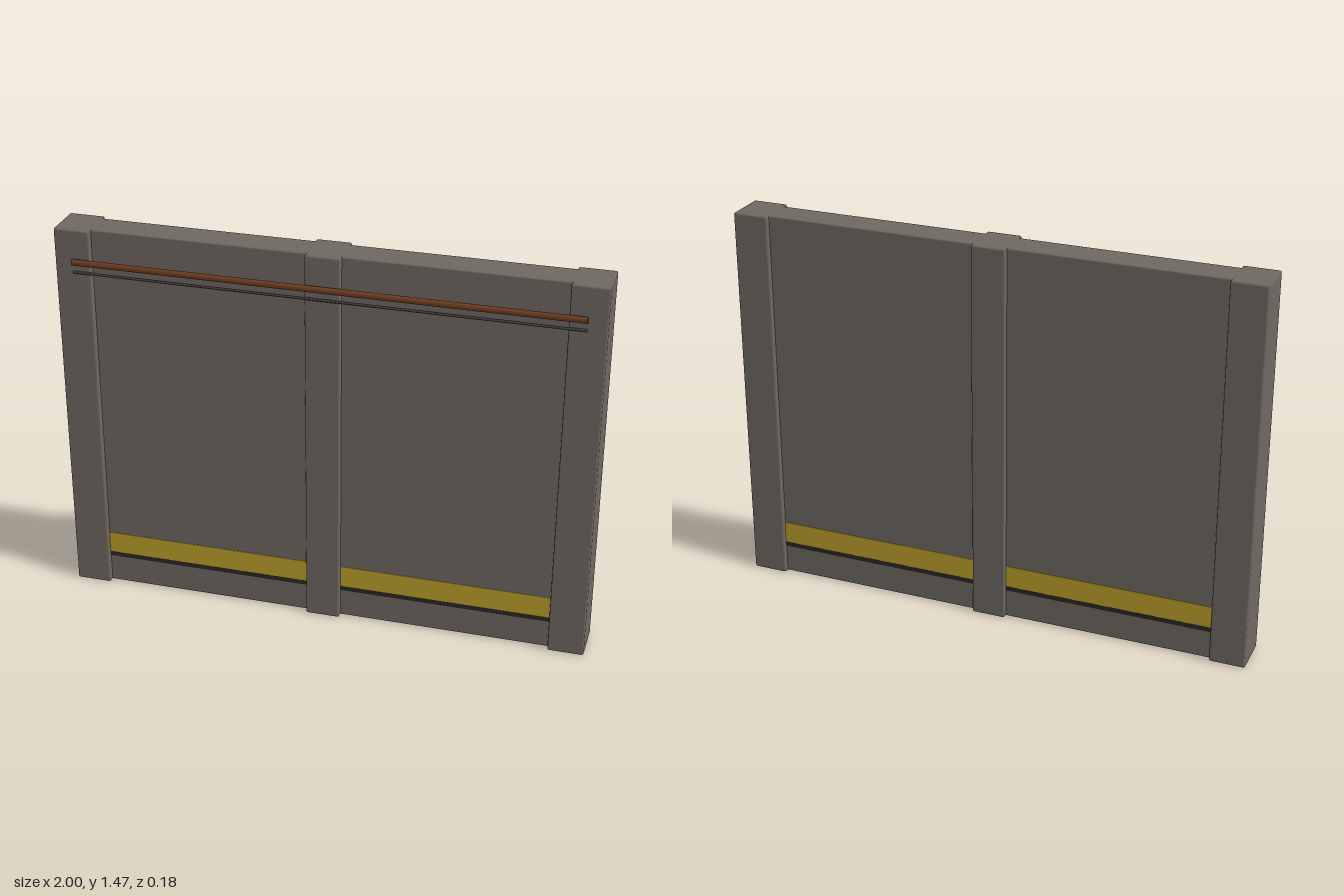
import * as THREE from 'three';
import { RoundedBoxGeometry } from 'three/addons/geometries/RoundedBoxGeometry.js';

const HEIGHT = 1.47;

function material(name, color) {
  const m = new THREE.MeshStandardMaterial({ color });
  m.name = name;
  return m;
}

export function createModel() {
  const group = new THREE.Group();
  const concrete = material('concrete grey', 0x6e6860);
  const yellow = material('stripe yellow', 0xbc9f2b);
  const dark = material('trim dark', 0x2a2825);
  const rust = material('pipe rust', 0x6b3c20);
  const cable = material('cable grey', 0x45423e);

  function add(name, geometry, mat, x, y, z) {
    const mesh = new THREE.Mesh(geometry, mat);
    mesh.name = name;
    mesh.position.set(x, y, z);
    group.add(mesh);
    return mesh;
  }

  // Wall slab with bevelled edges
  const backZ = -0.071, frontZ = 0.05;
  add('wallPanel', new RoundedBoxGeometry(1.98, HEIGHT - 0.002, frontZ - backZ, 1, 0.006),
    concrete, 0, HEIGHT / 2, (frontZ + backZ) / 2);

  // Three pilasters standing proud on both faces
  for (const [name, x] of [['rightPost', -0.9325], ['middlePost', 0], ['leftPost', 0.9325]]) {
    const width = x === 0 ? 0.13 : 0.135;
    add(name, new RoundedBoxGeometry(width, HEIGHT, 0.163, 1, 0.007),
      concrete, x, HEIGHT / 2, -0.0085);
  }

  // Painted stripe and dark line in each bay, front and back
  for (const side of [-1, 1]) {
    for (const [face, z] of [['front', frontZ], ['back', backZ]]) {
      const x = side * 0.465;
      add(face + 'Stripe', new THREE.BoxGeometry(0.8, 0.085, 0.004), yellow, x, 0.1725, z);
      add(face + 'DarkLine', new THREE.BoxGeometry(0.8, 0.018, 0.005), dark, x, 0.121, z);
    }
  }

  // Pipe and thin cable running across the front
  const pipe = add('pipe', new THREE.CylinderGeometry(0.0125, 0.0125, 1.86, 8), rust, 0, 1.35, 0.081);
  const wire = add('cable', new THREE.CylinderGeometry(0.005, 0.005, 1.86, 6), cable, 0, 1.31, 0.077);
  pipe.rotation.z = wire.rotation.z = Math.PI / 2;

  return group;
}
